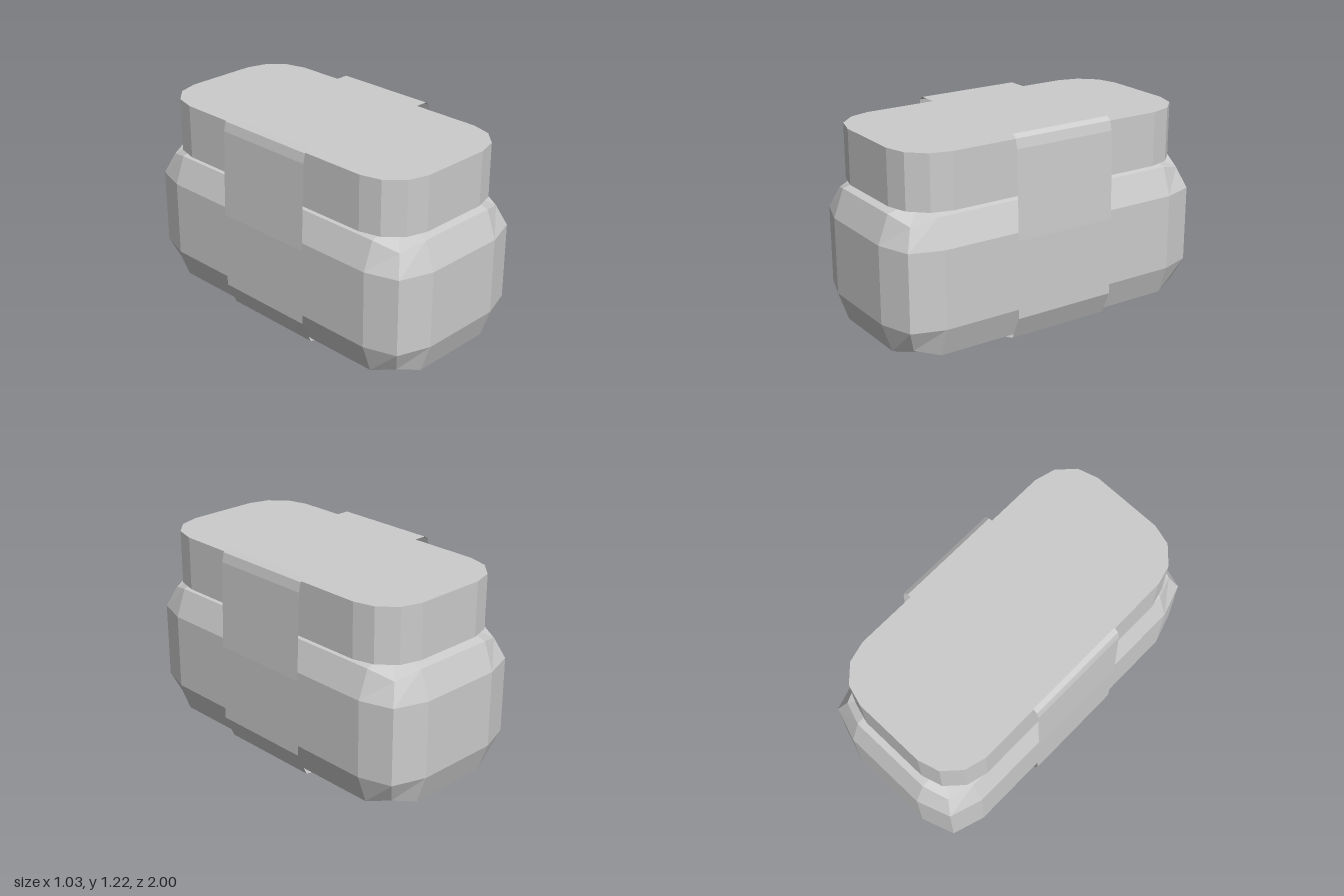
import * as THREE from 'three';

const material = new THREE.MeshStandardMaterial({ color: 0xcccccc, flatShading: true, side: THREE.DoubleSide });

// Mirrors one quarter outline (from the +x side to the +z side) into a full loop
function loopFromQuarter(quarter) {
  const loop = [];
  [[1, 1], [-1, 1], [-1, -1], [1, -1]].forEach(([sx, sz], i) => {
    const pts = i % 2 ? [...quarter].reverse() : quarter;
    pts.forEach(([x, y, z]) => loop.push([sx * x, y, sz * z]));
  });
  return loop;
}

// Skins a stack of cross-sections with quads
function skin(sections, closed) {
  const n = sections[0].length;
  const index = [];
  for (let i = 0; i < sections.length - 1; i++) {
    for (let j = 0; j < (closed ? n : n - 1); j++) {
      const a = i * n + j, b = i * n + ((j + 1) % n);
      index.push(a, a + n, b, b, a + n, b + n);
    }
  }
  const geometry = new THREE.BufferGeometry();
  geometry.setAttribute('position', new THREE.Float32BufferAttribute(sections.flat(2), 3));
  geometry.setIndex(index);
  geometry.computeVertexNormals();
  return geometry;
}

function addMesh(group, name, geometry) {
  const mesh = new THREE.Mesh(geometry, material);
  mesh.name = name;
  group.add(mesh);
  return mesh;
}

export function createModel() {
  const group = new THREE.Group();
  group.name = 'bandedBox';

  // Lower body: chamfered shell, open underneath, its top tucked into the lid
  const rim = (y) => [[0.25, y, 0.75], [0.25, y, 0.75], [0.25, y, 0.75]];
  const shoulder = (y, cornerY) => [[0.44, y, 0.75], [0.39, cornerY, 0.89], [0.25, y, 0.94]];
  const wall = (y) => [[0.5, y, 0.75], [0.44, y, 0.935], [0.25, y, 1]];
  const quarters = [rim(0.01), shoulder(0.065, 0.11), wall(0.235), wall(0.68), shoulder(0.84, 0.8), rim(0.89)];
  const body = addMesh(group, 'body', skin(quarters.map(loopFromQuarter), true));
  body.position.x = -0.004;

  // Lid: straight-sided slab with rounded corners
  const corner = [[0.452, 0, 0.66], [0.42, 0, 0.78], [0.33, 0, 0.875], [0.21, 0, 0.91]];
  const outline = new THREE.Shape(loopFromQuarter(corner).map(([x, , z]) => new THREE.Vector2(x, z)));
  const lidGeometry = new THREE.ExtrudeGeometry(outline, { depth: 0.315, bevelEnabled: false });
  lidGeometry.rotateX(-Math.PI / 2);
  const lid = addMesh(group, 'lid', lidGeometry);
  lid.position.set(-0.003, 0.866, 0.005);

  // Band: thin strap over the lid, down both sides and tucked under the edges
  const half = [[0.25, 0], [0.455, 0.055], [0.515, 0.19], [0.515, 0.64], [0.497, 1.14], [0.485, 1.195], [0.458, 1.215]];
  const profile = [...half, ...[...half].reverse().map(([x, y]) => [-x, y])];
  const strap = [0.31, -0.31].map((z) => profile.map(([x, y]) => [x, y, z]));
  addMesh(group, 'band', skin(strap, false));

  return group;
}
